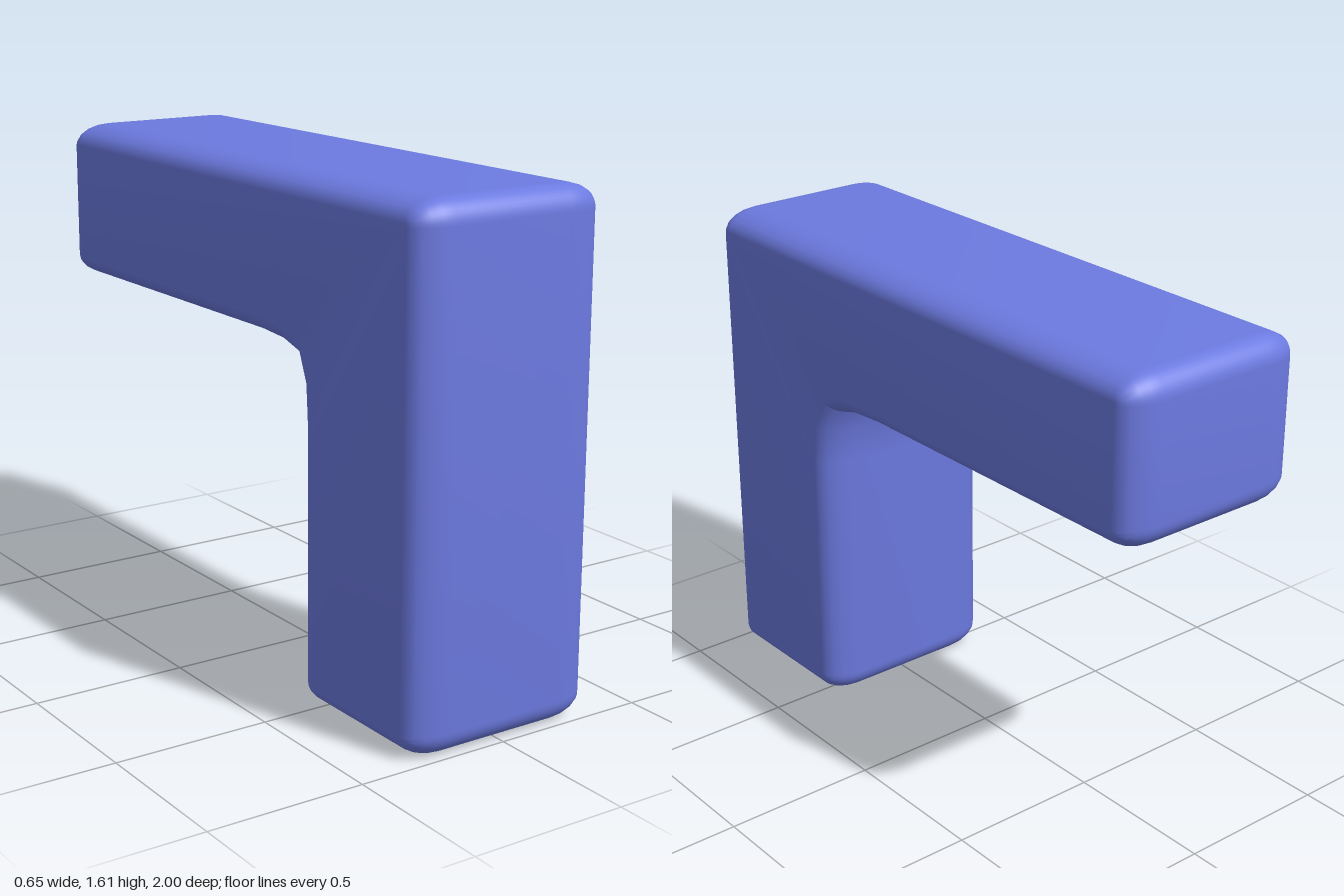
import * as THREE from 'three';
import { toCreasedNormals } from 'three/addons/utils/BufferGeometryUtils.js';

const HALF_WIDTH = 0.325;
const BEVEL_IN = 0.065; // how far the bevel eats into the side outline
const BEVEL_X = 0.12; // how far it runs across the width

// Side outline, drawn as (z, y): an upright leg with an arm reaching back
function sideOutline() {
  const r = 0.075;
  const front = 1, back = -1, top = 1.605, legBack = 0.415, armBottom = 1.09;
  const s = new THREE.Shape();
  s.moveTo(legBack + r, 0);
  s.lineTo(front - r, 0);
  s.absarc(front - r, r, r, -Math.PI / 2, 0, false);
  s.lineTo(front, top - r);
  s.absarc(front - r, top - r, r, 0, Math.PI / 2, false);
  s.lineTo(back + r, top);
  s.absarc(back + r, top - r, r, Math.PI / 2, Math.PI, false);
  s.lineTo(back, armBottom + r);
  s.absarc(back + r, armBottom + r, r, Math.PI, Math.PI * 1.5, false);
  // Softened inner corner
  s.lineTo(0.15, armBottom);
  s.lineTo(0.3, 1.08);
  s.lineTo(0.38, 1.057);
  s.lineTo(0.407, 0.99);
  s.lineTo(legBack, 0.87);
  s.lineTo(legBack, r);
  s.absarc(legBack + r, r, r, Math.PI, Math.PI * 1.5, false);
  return s;
}

export function createModel() {
  const group = new THREE.Group();
  group.name = 'angledBlock';

  const depth = 2 * (HALF_WIDTH - BEVEL_X);
  const geometry = new THREE.ExtrudeGeometry(sideOutline(), {
    depth,
    curveSegments: 5,
    bevelEnabled: true,
    bevelThickness: BEVEL_X,
    bevelSize: BEVEL_IN,
    bevelOffset: -BEVEL_IN,
    bevelSegments: 5,
  });
  // Centre the width, then turn the outline into the z-y plane
  geometry.translate(0, 0, -depth / 2);
  geometry.rotateY(-Math.PI / 2);

  const material = new THREE.MeshStandardMaterial({ color: 0x6c7ae0 });
  const body = new THREE.Mesh(toCreasedNormals(geometry, 0.6), material);
  body.name = 'legAndArm';
  group.add(body);
  return group;
}
